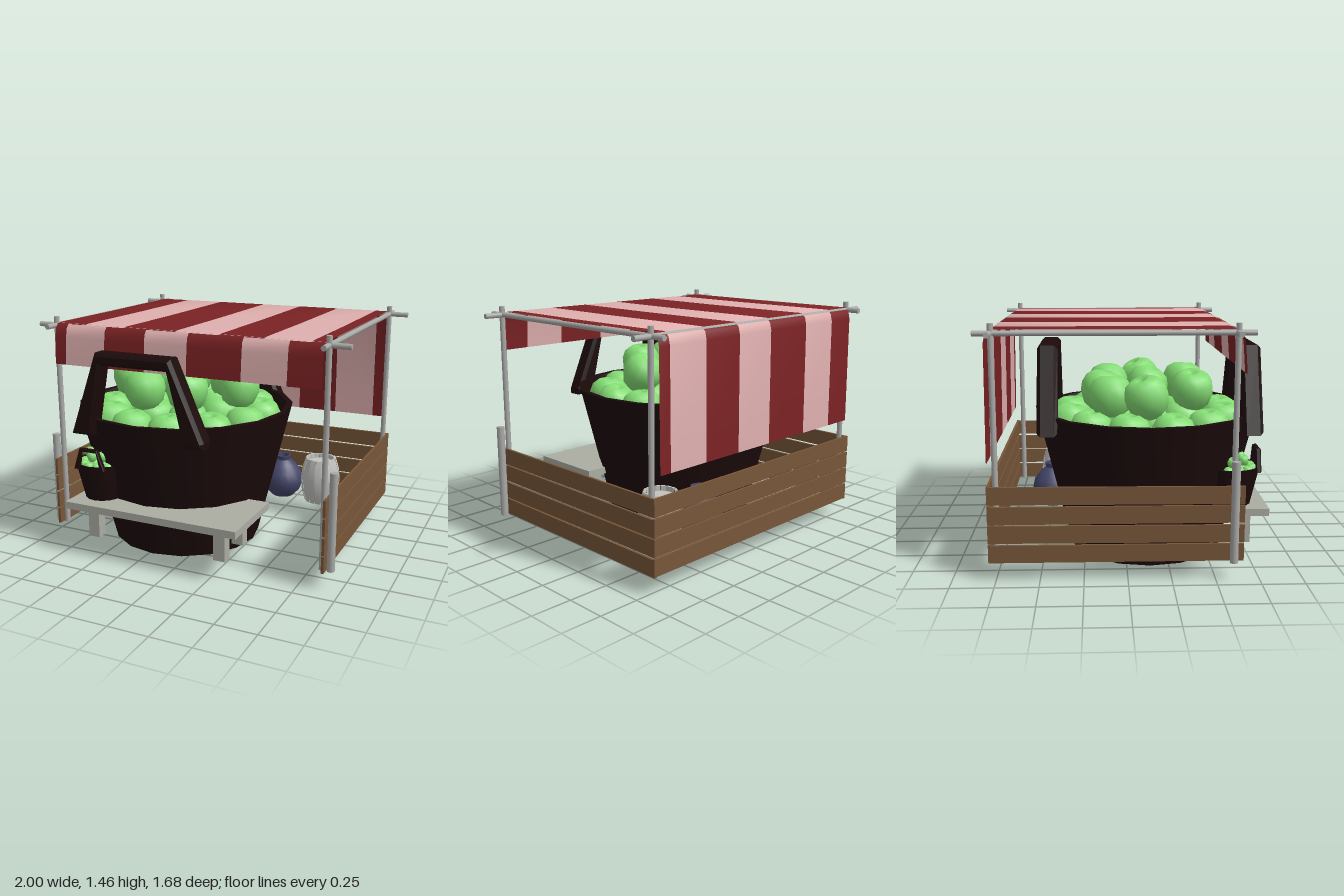
import * as THREE from 'three';
import { toCreasedNormals } from 'three/addons/utils/BufferGeometryUtils.js';

const mat = (name, color, side = THREE.FrontSide) => {
  const m = new THREE.MeshStandardMaterial({ color, side });
  m.name = name;
  return m;
};
const MAT = {
  red: mat('canopy red', 0x7b2224, THREE.DoubleSide),
  pink: mat('canopy pink', 0xdfb0af, THREE.DoubleSide),
  pole: mat('pole grey', 0xa9aaa8),
  bench: mat('bench grey', 0xabada3),
  wood: mat('fence brown', 0x775639),
  basket: mat('basket dark brown', 0x1c0a0b),
  apple: mat('apple green', 0x84dc74),
  barrel: mat('barrel pale grey', 0xc2c2bf, THREE.DoubleSide),
  pot: mat('pot slate blue', 0x44466a, THREE.DoubleSide),
};

const v2 = (pts) => pts.map(([x, y]) => new THREE.Vector2(x, y));

function add(parent, name, geo, material, x = 0, y = 0, z = 0) {
  const m = new THREE.Mesh(geo, material);
  m.name = name;
  m.position.set(x, y, z);
  parent.add(m);
  return m;
}
function box(parent, name, material, w, h, d, x, y, z) {
  return add(parent, name, new THREE.BoxGeometry(w, h, d), material, x, y, z);
}
function lathe(pts, sides, crease = 0.7) {
  return toCreasedNormals(new THREE.LatheGeometry(v2(pts), sides), crease);
}

// Basket with two arched handles, filled with apples; centred on its own axis
function makeBasket() {
  const g = new THREE.Group();
  add(g, 'basketBody', lathe([[0, 0], [0.48, 0], [0.695, 0.88], [0.66, 0.88], [0.625, 0.74], [0, 0.74]], 16), MAT.basket);

  const arch = new THREE.Shape(v2([
    [-0.445, 0.78], [-0.26, 1.29], [0.24, 1.29], [0.445, 0.82], [0.445, 0.78],
    [0.32, 0.78], [0.21, 1.215], [-0.22, 1.215], [-0.30, 0.78],
  ]));
  const handleGeo = new THREE.ExtrudeGeometry(arch, {
    depth: 0.08, bevelSize: 0.02, bevelThickness: 0.02, bevelOffset: -0.02, bevelSegments: 1,
  });
  handleGeo.translate(0, 0, -0.04);
  for (const s of [1, -1]) add(g, s > 0 ? 'frontHandle' : 'backHandle', handleGeo, MAT.basket, 0, 0, s * 0.602);

  // apples: dimpled spheres, a low layer at the rim and a pile above it
  const appleGeo = lathe([
    [0, -0.105], [0.05, -0.12], [0.1, -0.085], [0.13, -0.01], [0.128, 0.045],
    [0.105, 0.095], [0.06, 0.123], [0.025, 0.115], [0, 0.09],
  ], 12, 1.2);
  const spots = [];
  const ring = (n, r, y) => {
    for (let i = 0; i < n; i++) {
      const a = ((i + 0.5) / n) * Math.PI * 2;
      spots.push([Math.sin(a) * r, y, Math.cos(a) * r]);
    }
  };
  ring(12, 0.49, 0.79);
  ring(6, 0.24, 0.8);
  spots.push(
    [-0.41, 1.0, -0.02], [-0.145, 1.0, 0.27], [0.135, 1.01, 0.24], [0.37, 1.0, -0.02],
    [0.2, 0.99, -0.24], [-0.08, 0.99, -0.28], [-0.3, 0.99, -0.23], [0.01, 1.0, 0.0],
  );
  spots.forEach(([x, y, z], i) => {
    const a = add(g, 'apple', appleGeo, MAT.apple, x, y, z);
    const tilt = y > 0.9 ? 0.35 : 0.1;
    a.rotation.set(Math.sin(i * 2.3) * tilt, i, Math.cos(i * 1.7) * tilt);
  });
  return g;
}

// Cloth strip following a [z, y] profile from back to front
function strip(parent, name, profile, x0, x1, material) {
  const geo = new THREE.PlaneGeometry(x1 - x0, 1, 1, profile.length - 1);
  const p = geo.attributes.position;
  for (let i = 0; i < p.count; i++) {
    const [z, y] = profile[Math.floor(i / 2)];
    p.setXYZ(i, i % 2 ? x1 : x0, y, z);
  }
  add(parent, name, toCreasedNormals(geo, 0.9), material);
}

function makeCanopy() {
  const g = new THREE.Group();
  g.name = 'canopy';
  const edges = [-0.86, -0.66, -0.387, -0.045, 0.234, 0.507, 0.782, 0.86];
  const roof = [[-0.79, 0.67], [-0.783, 1.35], [-0.772, 1.395], [-0.745, 1.42], [0, 1.418], [0.58, 1.42], [0.612, 1.415]];
  const valance = [[0.612, 1.415], [0.634, 1.39], [0.643, 1.34], [0.657, 1.17]];
  for (let i = 0; i < 7; i++) {
    const m = i % 2 ? MAT.pink : MAT.red;
    strip(g, 'roofStripe', roof, edges[i], edges[i + 1], m);
    // the valance carries the stripes mirrored
    strip(g, 'valanceStripe', valance, -edges[i + 1], -edges[i], m);
  }
  return g;
}

function makeFrame() {
  const g = new THREE.Group();
  g.name = 'poleFrame';
  const pole = (name, r, len) => new THREE.Mesh(new THREE.CylinderGeometry(r, r, len, 12), MAT.pole);
  const put = (name, r, len, x, y, z, rx = 0, rz = 0) => {
    const m = pole(name, r, len);
    m.name = name;
    m.position.set(x, y, z);
    m.rotation.set(rx, 0, rz);
    g.add(m);
  };
  for (const s of [1, -1]) {
    for (const z of [0.6, -0.74]) put('post', 0.017, 1.35, s * 0.876, 0.78, z);
    put('sideRail', 0.016, 1.54, s * 0.876, 1.402, -0.07, Math.PI / 2);
    put('fencePost', 0.024, 0.59, s * 0.93, 0.4, 0.6);
  }
  for (const z of [0.595, -0.745]) put('crossRail', 0.016, 2, 0, 1.402, z, 0, Math.PI / 2);
  return g;
}

function makeFence() {
  const g = new THREE.Group();
  g.name = 'fence';
  for (let i = 0; i < 4; i++) {
    const y = 0.158 + i * 0.113;
    const lean = (i % 2 ? 1 : -1) * 0.002 + 0.002;
    for (const s of [1, -1]) {
      const p = box(g, 'sidePlank', MAT.wood, 0.016, 0.102, 1.45, s * 0.897, y, -0.065);
      p.rotation.x = lean;
    }
    box(g, 'backPlank', MAT.wood, 1.81, 0.102, 0.016, 0, y + 0.004, -0.782);
  }
  return g;
}

function makeBench() {
  const g = new THREE.Group();
  g.name = 'bench';
  box(g, 'benchTop', MAT.bench, 1.15, 0.045, 0.51, -0.135, 0.326, 0.585);
  for (const x of [-0.568, 0.296])
    for (const z of [0.715, 0.455]) box(g, 'benchLeg', MAT.bench, 0.075, 0.2, 0.07, x, 0.205, z);
  return g;
}

// Barrel of separate bowed staves around a core
function makeBarrel() {
  const g = new THREE.Group();
  g.name = 'barrel';
  add(g, 'barrelCore', lathe([[0, 0.01], [0.088, 0.01], [0.116, 0.1], [0.122, 0.155], [0.116, 0.21], [0.09, 0.28], [0, 0.28]], 16), MAT.barrel);
  const n = 16, step = (Math.PI * 2) / n;
  const stave = v2([[0.088, 0], [0.104, 0], [0.126, 0.07], [0.135, 0.155], [0.126, 0.24], [0.104, 0.31], [0.088, 0.31], [0.088, 0.27]]);
  for (let i = 0; i < n; i++) {
    const geo = toCreasedNormals(new THREE.LatheGeometry(stave, 1, (i + 0.06) * step, step * 0.88), 0.5);
    add(g, 'barrelStave', geo, MAT.barrel);
  }
  g.position.set(0.522, 0.113, -0.44);
  return g;
}

export function createModel() {
  const model = new THREE.Group();
  model.name = 'marketStall';

  const big = makeBasket();
  big.name = 'largeAppleBasket';
  big.position.set(-0.225, 0, 0.14);

  const small = makeBasket();
  small.name = 'smallAppleBasket';
  small.position.set(-0.557, 0.347, 0.63);
  small.scale.set(0.245, 0.267, 0.25);

  model.add(big, small, makeCanopy(), makeFrame(), makeFence(), makeBench(), makeBarrel());

  // round pot with a short neck
  add(model, 'pot', lathe([
    [0, 0], [0.075, 0], [0.122, 0.05], [0.142, 0.115], [0.128, 0.18], [0.085, 0.235],
    [0.05, 0.265], [0.055, 0.295], [0.042, 0.295], [0.038, 0.25], [0, 0.24],
  ], 20), MAT.pot, 0.23, 0.1, -0.48);

  return model;
}
